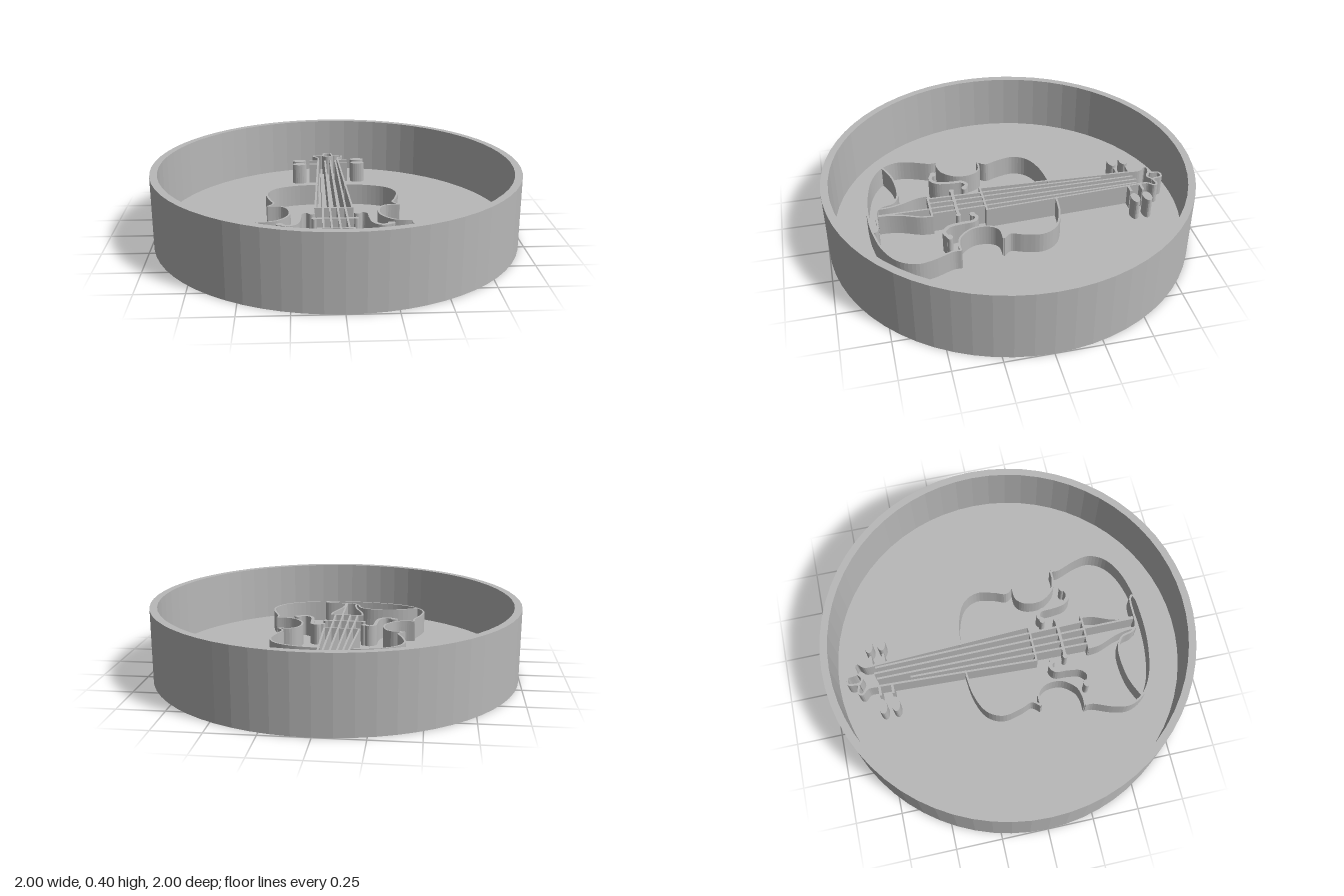
import * as THREE from 'three';

const FLOOR = 0.08, TOP = 0.2, WALL = 0.011, AXIS = -0.018;

export function createModel() {
  const model = new THREE.Group();
  const grey = new THREE.MeshStandardMaterial({ color: 0xb8b8b8, flatShading: true });
  grey.name = 'plain grey';

  const add = (name, geometry, parent = model) => {
    const mesh = new THREE.Mesh(geometry, grey);
    mesh.name = name;
    parent.add(mesh);
  };
  const group = (name) => {
    const g = new THREE.Group();
    g.name = name;
    model.add(g);
    return g;
  };
  const vec = (pts) => pts.map(([x, z]) => new THREE.Vector2(x, -z));
  // Raises a plan outline from the floor to the relief height
  const raise = (shape) => new THREE.ExtrudeGeometry(shape, {
    depth: TOP - FLOOR + 0.01, bevelEnabled: false, curveSegments: 10,
  }).rotateX(-Math.PI / 2).translate(0, FLOOR - 0.01, 0);

  // Upright wall that follows a path of [x, z] points
  const wall = (pts, { curved = true, width = WALL } = {}) => {
    const path = curved && pts.length > 2
      ? new THREE.SplineCurve(vec(pts)).getPoints((pts.length - 1) * 5) : vec(pts);
    const left = [], right = [];
    path.forEach((p, i) => {
      const a = path[Math.max(i - 1, 0)], b = path[Math.min(i + 1, path.length - 1)];
      const din = p.clone().sub(i ? a : b).normalize().multiplyScalar(i ? 1 : -1);
      const dout = b.clone().sub(p).normalize();
      const d = din.add(dout).normalize();
      const n = new THREE.Vector2(-d.y, d.x).multiplyScalar(width / 2);
      left.push(p.clone().add(n));
      right.unshift(p.clone().sub(n));
    });
    return raise(new THREE.Shape([...left, ...right]));
  };
  const oval = (x, z, rx, rz) => raise(new THREE.Shape().absellipse(x, -z, rx, rz, 0, Math.PI * 2));
  const sided = (pts, s) => pts.map(([x, z]) => [AXIS + s * x, z]);

  // Round dish with a thin rim
  add('dish', new THREE.LatheGeometry(vec([
    [0, 0], [1, 0], [1, -0.4], [0.96, -0.4], [0.96, -FLOOR], [0, -FLOOR],
  ]), 64));

  // Body outline: upper bout, waist and lower bout on each side
  const bouts = {
    upperBout: [[0.075, -0.26], [0.21, -0.243], [0.32, -0.195], [0.366, -0.11],
      [0.348, -0.01], [0.326, 0.055], [0.358, 0.1]],
    waist: [[0.358, 0.1], [0.283, 0.105], [0.243, 0.158], [0.243, 0.243],
      [0.294, 0.313], [0.353, 0.334], [0.406, 0.334]],
    lowerBout: [[0.406, 0.334], [0.405, 0.38], [0.444, 0.484], [0.455, 0.575],
      [0.406, 0.665], [0.294, 0.73], [0.134, 0.765], [0, 0.773]],
  };
  const body = group('violinBody');
  const soundHoles = group('soundHoles');
  for (const s of [-1, 1]) {
    for (const [name, pts] of Object.entries(bouts)) add(name, wall(sided(pts, s)), body);
    add('soundHole', wall(sided([[0.125, 0.222], [0.15, 0.202], [0.182, 0.225], [0.187, 0.29],
      [0.2, 0.36], [0.24, 0.394], [0.285, 0.38]], s), { width: 0.02 }), soundHoles);
    add('soundHoleUpperEnd', oval(AXIS + s * 0.122, 0.22, 0.018, 0.015), soundHoles);
    add('soundHoleLowerEnd', oval(AXIS + s * 0.288, 0.372, 0.02, 0.016), soundHoles);
  }

  // Chin rest
  add('chinRest', wall([[-0.44, 0.65], [-0.32, 0.603], [-0.17, 0.592], [-0.09, 0.625],
    [-0.065, 0.695], [-0.02, 0.726], [0.11, 0.731], [0.143, 0.75], [0.11, 0.767]]));

  // Fingerboard edges and end
  const neck = group('fingerboard');
  for (const s of [-1, 1]) {
    add('fingerboardEdge', wall(sided([[0.062, -0.74], [0.1, 0.135]], s)), neck);
  }
  add('fingerboardEnd', wall([[-0.123, 0.135], [0.087, 0.135]]), neck);

  // Strings
  const strings = group('strings');
  for (const [x0, z0, x1] of [[-0.065, -0.56, -0.083], [-0.037, -0.74, -0.04],
    [-0.004, -0.75, 0.005], [0.028, -0.74, 0.05]]) {
    add('string', wall([[x0, z0], [x1, 0.435]]), strings);
  }

  // Bridge with rounded ends
  add('bridge', wall([[-0.13, 0.295], [0.095, 0.295]], { width: 0.016 }));
  for (const x of [-0.128, 0.093]) add('bridgeFoot', oval(x, 0.295, 0.014, 0.014));

  // Tailpiece
  const tail = group('tailpiece');
  for (const s of [-1, 1]) {
    add('tailpieceEdge', wall(sided([[0.093, 0.435], [0.085, 0.5], [0.05, 0.59],
      [0.034, 0.66], [0.032, 0.72]], s)), tail);
  }
  add('tailpieceTop', wall([[-0.115, 0.435], [0.08, 0.435]]), tail);
  add('tailpieceCord', wall([[0.008, 0.435], [0.008, 0.72]]), tail);

  // Scroll outline
  const scroll = group('scroll');
  for (const s of [-1, 1]) {
    add('scrollEdge', wall(sided([[0, -0.903], [0.022, -0.893], [0.032, -0.845], [0.075, -0.85],
      [0.09, -0.83], [0.062, -0.795], [0.062, -0.735]], s)), scroll);
  }
  add('scrollEye', wall([[-0.05, -0.84], [AXIS, -0.82], [0.014, -0.84]]), scroll);

  // Tuning pegs: an oval head and a short stem
  const pegs = group('tuningPegs');
  for (const [s, z] of [[-1, -0.735], [-1, -0.665], [1, -0.757], [1, -0.687]]) {
    const stemZ = z + (s > 0 ? 0.002 : 0);
    add('pegHead', oval(AXIS + s * 0.18, z, 0.042, 0.024), pegs);
    add('pegStem', wall(sided([[0.06, stemZ], [0.118, stemZ]], s), { width: 0.014 }), pegs);
  }

  return model;
}
